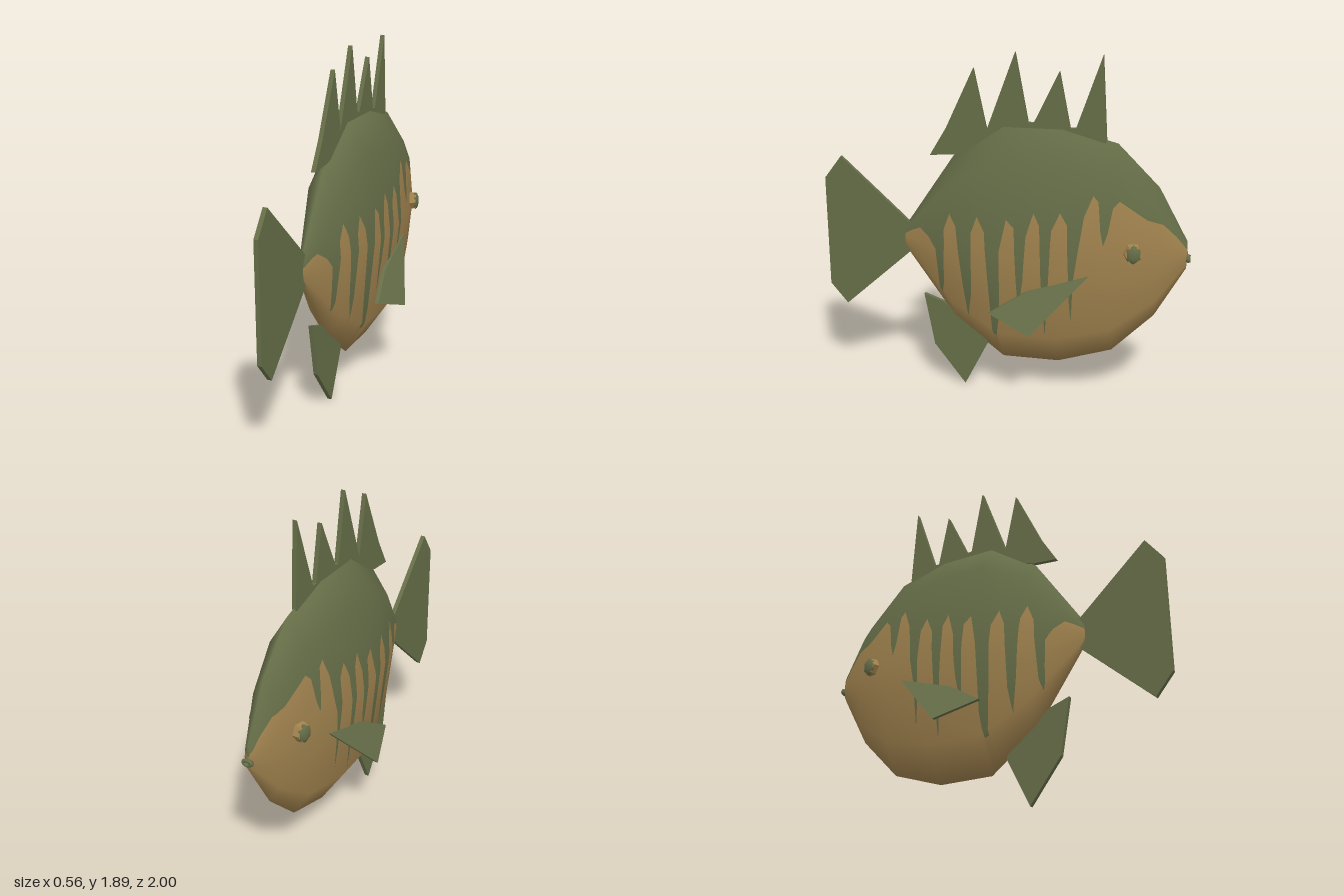
import * as THREE from 'three';

const green = new THREE.MeshStandardMaterial({ color: 0x666e48 });
green.name = 'olive green';
const tan = new THREE.MeshStandardMaterial({ color: 0xa0824e });
tan.name = 'sandy tan';

// Body cross-sections from tail to head: z, top, bottom, half width
const STATIONS = [
  [0.556, 0.86, 0.85, 0], [0.55, 0.92, 0.80, 0.015], [0.27, 1.335, 0.40, 0.125],
  [0, 1.52, 0.19, 0.17], [-0.31, 1.52, 0.19, 0.175], [-0.60, 1.44, 0.285, 0.147],
  [-0.82, 1.22, 0.51, 0.088], [-0.975, 0.94, 0.79, 0.022], [-0.98, 0.87, 0.86, 0],
].reverse();

// Edge between green back and tan flank, as [z, y], tail to head
const EDGE = [
  [0.55, 0.88], [0.50, 0.91], [0.455, 0.93], [0.40, 0.89], [0.36, 0.83], [0.343, 0.60], [0.332, 0.57],
  [0.316, 0.63], [0.306, 0.95], [0.273, 1.04], [0.236, 0.97], [0.204, 0.65], [0.177, 0.46],
  [0.155, 0.60], [0.15, 0.95], [0.118, 1.04], [0.075, 0.96], [0.054, 0.60], [0.038, 0.37],
  [0.016, 0.36], [-0.003, 0.49], [-0.008, 0.87], [-0.043, 1.04], [-0.086, 1.0], [-0.097, 0.71],
  [-0.107, 0.53], [-0.134, 0.71], [-0.15, 0.96], [-0.188, 1.085], [-0.22, 1.02], [-0.236, 0.60],
  [-0.252, 0.39], [-0.268, 0.65], [-0.284, 1.0], [-0.327, 1.095], [-0.365, 1.03], [-0.381, 0.60],
  [-0.391, 0.48], [-0.402, 0.73], [-0.45, 1.08], [-0.493, 1.19], [-0.52, 1.16], [-0.536, 1.0],
  [-0.552, 0.93], [-0.574, 1.0], [-0.595, 1.13], [-0.627, 1.165], [-0.69, 1.12], [-0.77, 1.065],
  [-0.85, 1.04], [-0.92, 0.97], [-0.976, 0.90],
].reverse();

// Find the span of a z-sorted list holding z, with the blend factor
function span(list, z) {
  let i = 0;
  while (i < list.length - 2 && z > list[i + 1][0]) i++;
  const t = (z - list[i][0]) / (list[i + 1][0] - list[i][0]);
  return [i, THREE.MathUtils.clamp(t, 0, 1)];
}

// Five points down one side of each octagonal section
const RINGS = STATIONS.map(([z, top, bottom, w]) => {
  const mid = (top + bottom) / 2, h = (top - bottom) / 2;
  return [[0, 1], [0.71, 0.72], [1, 0], [0.71, -0.72], [0, -1]]
    .map(([a, b]) => new THREE.Vector3(a * w, mid + b * h, z));
});
const flip = (v) => new THREE.Vector3(-v.x, v.y, v.z);
const NORMALS = RINGS.map((ring, i) => ring.map((p, j) => {
  const last = RINGS.length - 1;
  if (i === 0 || i === last) return new THREE.Vector3(0, 0, i ? 1 : -1);
  const along = RINGS[i + 1][j].clone().sub(RINGS[i - 1][j]);
  const down = (ring[j + 1] ?? flip(ring[3])).clone().sub(ring[j - 1] ?? flip(ring[1]));
  return along.cross(down).normalize();
}));

// One column of the skin at z, limited to above or below the colour edge
function column(z, upper) {
  const [i, t] = span(STATIONS, z);
  const pts = RINGS[i].map((p, j) => p.clone().lerp(RINGS[i + 1][j], t));
  const nrm = NORMALS[i].map((n, j) => n.clone().lerp(NORMALS[i + 1][j], t));
  const [e, s] = span(EDGE, z);
  const edge = THREE.MathUtils.clamp(
    THREE.MathUtils.lerp(EDGE[e][1], EDGE[e + 1][1], s), pts[4].y, pts[0].y);
  return pts.map((p) => {
    const y = upper ? Math.max(p.y, edge) : Math.min(p.y, edge);
    let j = 0;
    while (j < 3 && y < pts[j + 1].y) j++;
    const k = THREE.MathUtils.clamp((pts[j].y - y) / (pts[j].y - pts[j + 1].y), 0, 1);
    return { p: pts[j].clone().lerp(pts[j + 1], k), n: nrm[j].clone().lerp(nrm[j + 1], k).normalize() };
  });
}

function skin(upper) {
  const zs = [...STATIONS.map((s) => s[0]), ...EDGE.map((s) => s[0])];
  for (let z = -0.97; z < 0.55; z += 0.01) zs.push(z);
  zs.sort((a, b) => a - b);
  const pos = [], nor = [], idx = [];
  for (const side of [1, -1]) {
    const base = pos.length / 3;
    zs.forEach((z, c) => {
      for (const { p, n } of column(z, upper)) {
        pos.push(side * p.x, p.y, p.z);
        nor.push(side * n.x, n.y, n.z);
      }
      if (c === 0) return;
      for (let j = 0; j < 4; j++) {
        const a = base + (c - 1) * 5 + j, b = a + 1, d = a + 5, f = a + 6;
        if (side > 0) idx.push(a, d, b, b, d, f);
        else idx.push(a, b, d, b, f, d);
      }
    });
  }
  const g = new THREE.BufferGeometry();
  g.setAttribute('position', new THREE.Float32BufferAttribute(pos, 3));
  g.setAttribute('normal', new THREE.Float32BufferAttribute(nor, 3));
  g.setIndex(idx);
  return g;
}

// Thin plate in the z-y plane, centred on x = 0
function plate(points, thickness) {
  const shape = new THREE.Shape(points.map(([z, y]) => new THREE.Vector2(z, y)));
  const g = new THREE.ExtrudeGeometry(shape, { depth: thickness, bevelEnabled: false });
  return g.translate(0, 0, -thickness / 2).rotateY(-Math.PI / 2);
}

export function createModel() {
  const model = new THREE.Group();
  model.name = 'fish';
  const add = (name, geometry, material, parent = model) => {
    const mesh = new THREE.Mesh(geometry, material);
    mesh.name = name;
    parent.add(mesh);
    return mesh;
  };

  add('bodyBack', skin(true), green);
  add('bodyFlanks', skin(false), tan);

  // Fins on the centre line
  add('dorsalFin', plate([
    [0.40, 1.33], [0.31, 1.48], [0.16, 1.80], [0.09, 1.48], [-0.06, 1.89], [-0.13, 1.53],
    [-0.16, 1.53], [-0.29, 1.80], [-0.35, 1.51], [-0.38, 1.51], [-0.51, 1.89], [-0.54, 1.45],
    [-0.50, 1.40], [0.10, 1.38], [0.27, 1.34],
  ], 0.024), green);
  add('tailFin', plate([
    [0.50, 0.92], [0.53, 0.95], [0.905, 1.295], [1, 1.17], [1, 0.55], [0.905, 0.435], [0.53, 0.77], [0.50, 0.80],
  ], 0.024), green);
  add('analFin', plate([
    [0.45, 0.53], [0.395, 0.23], [0.22, 0], [0.09, 0.26], [0.12, 0.36], [0.27, 0.44], [0.34, 0.49],
  ], 0.024), green);

  // Paired side parts
  for (const side of [1, -1]) {
    const label = side > 0 ? 'left' : 'right';

    // Pectoral fin sheared outward and down
    const fin = plate([[-0.48, 0.76], [-0.15, 0.65], [0.04, 0.53], [-0.19, 0.445]], 0.02);
    const p = fin.attributes.position;
    for (let i = 0; i < p.count; i++) {
      const out = 0.15 + 0.493 * (0.76 - p.getY(i)) - 0.122 * (p.getZ(i) + 0.48);
      p.setX(i, p.getX(i) + side * out);
    }
    fin.computeVertexNormals();
    add(label + 'PectoralFin', fin, green);

    // Eye: tan socket with a green pupil
    const eye = new THREE.Group();
    eye.name = label + 'Eye';
    eye.position.set(side * 0.125, 0.895, -0.705);
    eye.rotation.y = side * 0.25;
    model.add(eye);
    const socket = new THREE.CylinderGeometry(0.045, 0.055, 0.05, 6).toNonIndexed();
    socket.computeVertexNormals();
    add('eyeSocket', socket, tan, eye).rotation.z = -side * Math.PI / 2;
    const pupil = new THREE.SphereGeometry(1, 6, 6).rotateZ(Math.PI / 2);
    const ball = add('pupil', pupil, green, eye);
    ball.scale.set(0.02, 0.052, 0.042);
    ball.position.x = side * 0.02;
  }

  // Small round lips
  const lips = add('lips', new THREE.TorusGeometry(0.022, 0.012, 6, 10), green);
  lips.scale.y = 0.65;
  lips.position.set(0, 0.845, -0.985);
  return model;
}
